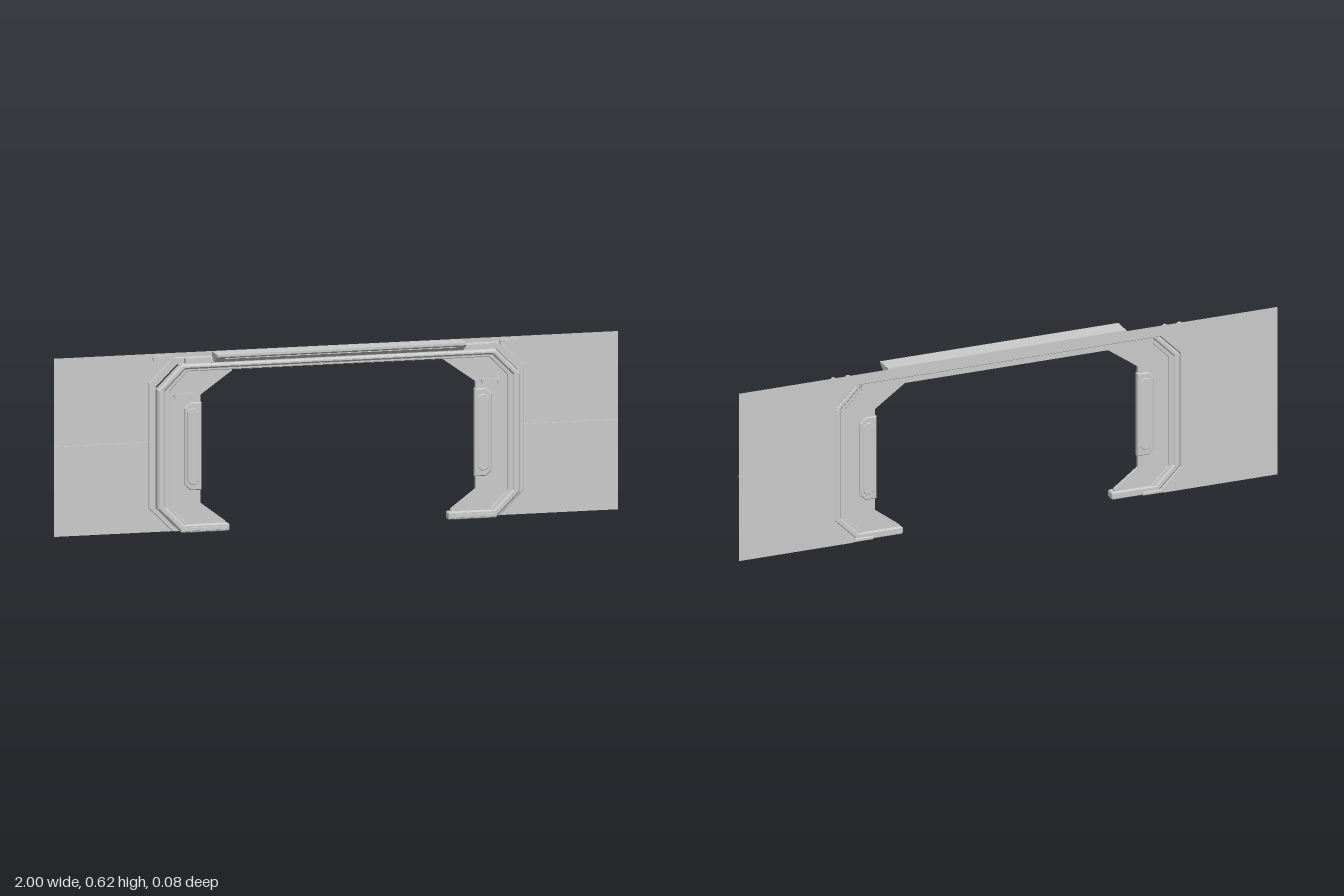
import * as THREE from 'three';

const material = new THREE.MeshStandardMaterial({ color: 0xcccccc, flatShading: true });
const thin = new THREE.MeshStandardMaterial({ color: 0xcccccc, flatShading: true, side: THREE.DoubleSide });

const toShape = pts => new THREE.Shape(pts.map(([x, y]) => new THREE.Vector2(x, y)));
const mirrorX = pts => pts.map(([x, y]) => [-x, y]).reverse();

// Chamfered portal line, open at the floor, running from the left foot to the right foot
function portal(w, top, bottom, c, footX) {
  const half = [[footX, bottom], [w - c, bottom], [w, bottom + c], [w, top - c], [w - c, top]];
  return [...half, ...mirrorX(half)];
}

// Extrusion from z0 to z1 with an optional bevel kept inside the outline
function slab(shape, z0, z1, bevel = 0) {
  const g = new THREE.ExtrudeGeometry(shape, {
    depth: z1 - z0 - 2 * bevel, bevelEnabled: bevel > 0, bevelSize: bevel,
    bevelThickness: bevel, bevelOffset: -bevel, bevelSegments: 1, curveSegments: 6
  });
  g.translate(0, 0, z0 + bevel);
  return g;
}

// Rectangle with cut corners
function chamferRect(x0, y0, x1, y1, c) {
  return [[x0 + c, y0], [x1 - c, y0], [x1, y0 + c], [x1, y1 - c],
    [x1 - c, y1], [x0 + c, y1], [x0, y1 - c], [x0, y0 + c]];
}

export function createModel() {
  const model = new THREE.Group();
  const add = (name, geometry, parent = model, mat = material) => {
    const mesh = new THREE.Mesh(geometry, mat);
    mesh.name = name;
    parent.add(mesh);
    return mesh;
  };
  const box = (name, x0, x1, y0, y1, z0, z1, parent) => {
    const g = new THREE.BoxGeometry(x1 - x0, y1 - y0, z1 - z0);
    g.translate((x0 + x1) / 2, (y0 + y1) / 2, (z0 + z1) / 2);
    return add(name, g, parent);
  };

  // Thin wall around the doorway
  const opening = portal(0.655, 0.6, 0, 0.08, 0.575).slice(1, -1);
  const wall = new THREE.ShapeGeometry(toShape([[1, 0], [1, 0.62], [-1, 0.62], [-1, 0], ...opening.reverse()]));
  wall.translate(0, 0, -0.04);
  add('wall', wall, model, thin);

  // Stepped frame: each band is [name, outer portal, inner portal, back z, front z, bevel]
  const bands = [
    ['backFlange', [0.665, 0.605, 0, 0.085, 0.5], [0.64, 0.58, 0.012, 0.075, 0.5], -0.04, -0.031, 0.002],
    ['outerFrame', [0.642, 0.585, 0, 0.085, 0.39], [0.616, 0.568, 0.022, 0.072, 0.39], -0.034, 0.005, 0.006],
    ['innerFrame', [0.618, 0.57, 0.018, 0.073, 0.4], [0.6, 0.56, 0.027, 0.066, 0.4], -0.029, -0.003, 0.002]
  ];
  for (const [name, outer, inner, z0, z1, bevel] of bands) {
    const outline = [...portal(...outer), ...portal(...inner).reverse()];
    add(name, slab(toShape(outline), z0, z1, bevel));
  }

  // Parts repeated on both sides
  for (const s of [1, -1]) {
    const side = new THREE.Group();
    side.name = s > 0 ? 'leftJamb' : 'rightJamb';
    model.add(side);
    const put = (name, pts, z0, z1, bevel) =>
      add(name, slab(toShape(s > 0 ? pts : mirrorX(pts)), z0, z1, bevel), side);
    const bar = (name, x0, x1, ...rest) =>
      box(name, s > 0 ? x0 : -x1, s > 0 ? x1 : -x0, ...rest, side);

    // Jamb plate with splayed head and foot
    put('jambPlate', [[0.4, 0.02], [0.54, 0.02], [0.606, 0.09], [0.606, 0.5], [0.54, 0.564],
      [0.375, 0.564], [0.375, 0.555], [0.488, 0.475], [0.488, 0.1], [0.4, 0.034]], -0.024, -0.012, 0);

    // Raised panel, open to the inner edge, with a rim
    const panel = [[0.484, 0.145], [0.525, 0.145], [0.545, 0.165], [0.545, 0.43],
      [0.525, 0.45], [0.484, 0.45]];
    put('jambPanel', panel, -0.03, -0.007, 0.003);
    put('panelInset', chamferRect(0.494, 0.165, 0.534, 0.43, 0.012), -0.032, -0.004, 0.002);

    // Foot block at the floor
    put('foot', chamferRect(0.388, 0, 0.56, 0.026, 0.004), -0.034, 0.004, 0.003);

    // Horizontal wall seam
    bar('wallSeam', 0.66, 1, 0.307, 0.314, -0.04, -0.034);

    // Small fixtures: two round ends joined by a bar on a backing block
    for (const [x, y, z] of [[0.615, 0.605, -0.026], [0.545, 0.475, -0.006]]) {
      const fixture = new THREE.Group();
      fixture.name = 'fixture';
      fixture.position.set(s * x, y, z);
      side.add(fixture);
      box('fixtureBase', -0.022, 0.022, -0.008, 0.008, -0.012, 0.001, fixture);
      box('fixtureBar', -0.026, 0.026, -0.005, 0.005, -0.006, 0.006, fixture);
      for (const e of [-0.027, 0.027]) {
        const g = new THREE.CylinderGeometry(0.011, 0.011, 0.014, 10);
        g.rotateX(Math.PI / 2);
        g.translate(e, 0, 0);
        add('fixtureEnd', g, fixture);
      }
    }

    // Bracket tying the canopy to the frame
    bar('canopyBracket', 0.44, 0.5, 0.578, 0.602, -0.034, -0.018);
  }

  // Wedge-shaped canopy over the doorway, profile drawn in z and y
  const profile = [[0.04, 0.62], [-0.031, 0.62], [-0.031, 0.592], [-0.012, 0.588], [0, 0.588], [0.04, 0.612]];
  const canopy = slab(toShape(profile), -0.442, 0.442);
  canopy.rotateY(-Math.PI / 2);
  add('canopy', canopy);

  // Light strip on the sloping underside of the canopy
  const strip = box('canopyStrip', -0.41, 0.41, -0.002, 0.002, -0.006, 0.006);
  strip.position.set(0, 0.602, 0.024);
  strip.rotation.x = -Math.atan2(0.024, 0.04);

  // Lintel mouldings below the canopy
  box('lintelCore', -0.54, 0.54, 0.558, 0.602, -0.034, -0.014);
  box('lintelTrim', -0.45, 0.45, 0.572, 0.59, -0.03, -0.002);
  return model;
}
